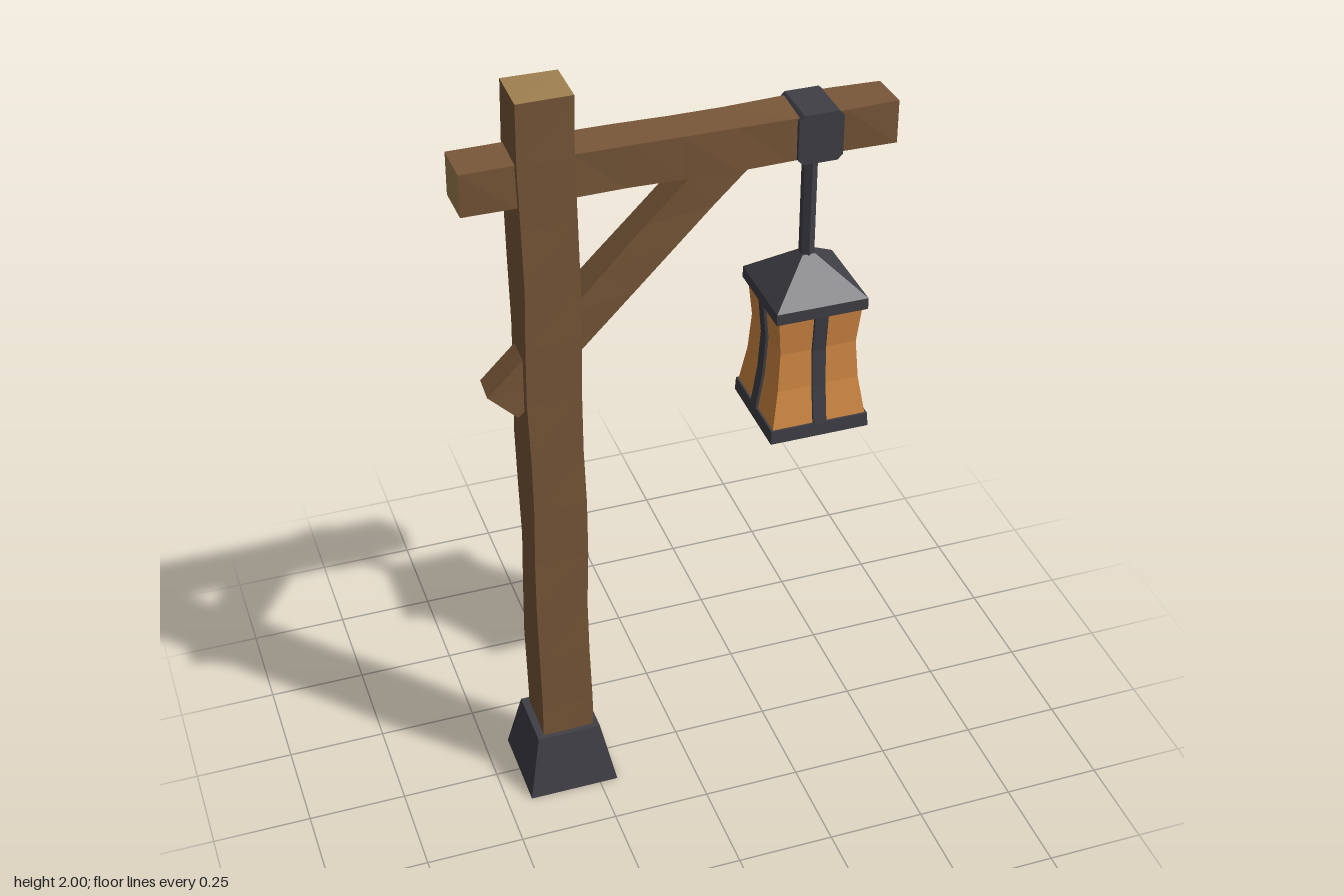
import * as THREE from 'three';

const material = (name, color) => {
  const m = new THREE.MeshStandardMaterial({ color });
  m.name = name;
  return m;
};

// Faceted mesh with one normal per face
function part(name, geometry, mat, x = 0, y = 0, z = 0) {
  const flat = geometry.index ? geometry.toNonIndexed() : geometry;
  flat.computeVertexNormals();
  const mesh = new THREE.Mesh(flat, mat);
  mesh.name = name;
  mesh.position.set(x, y, z);
  return mesh;
}

// Closed square solid from [half width, height] steps
function squareLoft(steps) {
  const pts = steps.map(([h, y]) => new THREE.Vector2(h * Math.SQRT2, y));
  pts.unshift(new THREE.Vector2(0, steps[0][1]));
  pts.push(new THREE.Vector2(0, steps[steps.length - 1][1]));
  return new THREE.LatheGeometry(pts, 4, Math.PI / 4);
}

// Rough hewn beam along y: its edges wander a little and its ends are slightly uneven
function timber(w, length, d, rows, seed, rough) {
  const g = new THREE.BoxGeometry(w, length, d, 1, rows, 1);
  const p = g.attributes.position;
  for (let i = 0; i < p.count; i++) {
    const x = p.getX(i), y = p.getY(i), z = p.getZ(i);
    const corner = Math.sign(x) * 1.3 + Math.sign(z) * 2.9;
    const a = Math.sin(y * 9.7 + corner * 5.1 + seed);
    const b = Math.sin(y * 13.3 + corner * 3.7 + seed * 2.3);
    p.setXYZ(i, x + a * rough, y, z + b * rough);
    if (Math.abs(y) > length / 2 - 1e-4) p.setY(i, y - Math.sign(y) * (1 + a) * rough);
  }
  return g;
}

export function createModel() {
  const wood = material('wood', 0x7a5839);
  const cutWood = material('cut wood', 0xa08150);
  const iron = material('dark iron', 0x403f46);
  const glass = material('amber glass', 0xd58b45);
  const timberMats = [wood, wood, cutWood, cutWood, wood, wood];

  const model = new THREE.Group();
  model.name = 'lanternPost';
  const postX = -0.32, lampX = 0.328;

  // Post, crossbeam and diagonal brace
  model.add(part('post', timber(0.133, 1.9, 0.133, 12, 1, 0.003), timberMats, postX, 1.051, 0.002));
  const beam = part('crossbeam', timber(0.108, 1.042, 0.108, 8, 4, 0.002), timberMats, 0, 1.79, 0);
  beam.rotation.z = -Math.PI / 2;
  const brace = part('brace', timber(0.1, 0.824, 0.08, 6, 7, 0.002), timberMats, -0.1485, 1.4885, 0);
  brace.rotation.z = -Math.PI / 4;
  model.add(beam, brace);

  // Footing
  model.add(part('footing', squareLoft([[0.117, 0], [0.083, 0.168]]), iron, postX));

  // Collar around the beam, with clipped corners
  const w = 0.055, h = 0.063, c = 0.013;
  const outline = new THREE.Shape([
    [-w + c, -h], [w - c, -h], [w, -h + c], [w, h - c],
    [w - c, h], [-w + c, h], [-w, h - c], [-w, -h + c],
  ].map(([x, y]) => new THREE.Vector2(x, y)));
  const collar = new THREE.ExtrudeGeometry(outline, { depth: 0.128, bevelEnabled: false });
  model.add(part('collar', collar, iron, lampX, 1.788, -0.064));

  // Hanging lantern
  const lantern = new THREE.Group();
  lantern.name = 'lantern';
  lantern.position.x = lampX;
  lantern.add(part('hangingRod', new THREE.CylinderGeometry(0.019, 0.019, 0.32, 6), iron, 0, 1.585));
  lantern.add(part('roof', squareLoft([[0.116, 1.335], [0.116, 1.365], [0.016, 1.452]]), iron));
  lantern.add(part('lanternBase', squareLoft([[0.127, 1.0], [0.125, 1.036]]), iron));

  // Glass with a pinched waist
  const low = 1.035, high = 1.337, halves = [0.12, 0.104, 0.097, 0.106];
  const step = (high - low) / 3;
  lantern.add(part('glass', squareLoft(halves.map((v, i) => [v, low + i * step])), glass));

  // One bar down the middle of each pane, following the waist
  for (let side = 0; side < 4; side++) {
    const g = new THREE.BoxGeometry(0.034, high - low, 0.014, 1, 3, 1);
    const p = g.attributes.position;
    for (let i = 0; i < p.count; i++) {
      const row = Math.round((p.getY(i) + (high - low) / 2) / step);
      p.setZ(i, p.getZ(i) + halves[row]);
    }
    const bar = part('paneBar', g, iron, 0, (low + high) / 2, 0);
    bar.rotation.y = side * Math.PI / 2;
    lantern.add(bar);
  }
  model.add(lantern);
  return model;
}
